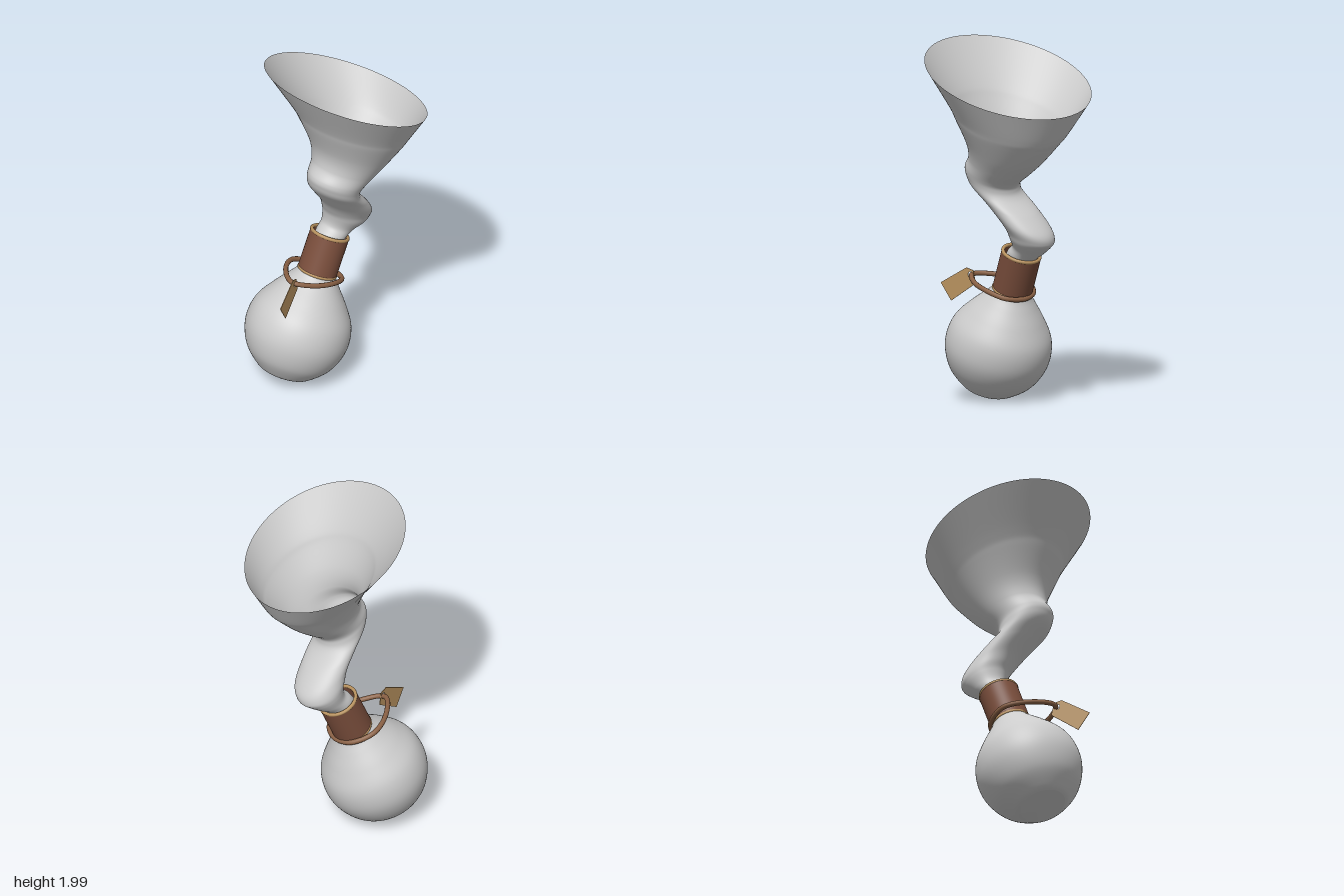
import * as THREE from 'three';
import { ParametricGeometry } from 'three/addons/geometries/ParametricGeometry.js';

const material = (color) => new THREE.MeshStandardMaterial({ color, side: THREE.DoubleSide });

function addPart(parent, name, geometry, mat) {
  const mesh = new THREE.Mesh(geometry, mat);
  mesh.name = name;
  parent.add(mesh);
  return mesh;
}

const points2 = (list) => list.map(([x, y]) => new THREE.Vector2(x, y));

// Bent horn: [height, centre x, centre z, radius x, radius z] per section
const hornSections = [
  [0.53, 0.0, 0.0, 0.083, 0.085],
  [0.58, 0.01, 0.0, 0.083, 0.086],
  [0.63, 0.04, 0.0, 0.09, 0.093],
  [0.69, 0.05, 0.012, 0.122, 0.12],
  [0.73, 0.04, 0.019, 0.148, 0.13],
  [0.78, -0.005, 0.038, 0.165, 0.138],
  [0.84, -0.11, 0.06, 0.168, 0.142],
  [0.89, -0.215, 0.081, 0.152, 0.147],
  [0.93, -0.252, 0.088, 0.153, 0.151],
  [0.97, -0.257, 0.092, 0.163, 0.158],
  [1.044, -0.226, 0.09, 0.18, 0.18],
  [1.137, -0.218, 0.087, 0.226, 0.222],
  [1.262, -0.249, 0.078, 0.31, 0.295],
  [1.328, -0.273, 0.068, 0.355, 0.338],
  [1.495, -0.365, 0.04, 0.47, 0.466],
];

function hornGeometry() {
  const curve = (pick) =>
    new THREE.CatmullRomCurve3(hornSections.map(pick), false, 'catmullrom', 0.5);
  const centres = curve(([s, x, z]) => new THREE.Vector3(x, s, z));
  const radii = curve(([, , , rx, rz]) => new THREE.Vector3(rx, 0, rz));
  const c = new THREE.Vector3();
  const r = new THREE.Vector3();
  return new ParametricGeometry((u, v, target) => {
    const angle = -u * Math.PI * 2;
    centres.getPoint(v, c);
    radii.getPoint(v, r);
    target.set(c.x + r.x * Math.cos(angle), c.y, c.z + r.z * Math.sin(angle));
  }, 80, 98);
}

export function createModel() {
  const model = new THREE.Group();
  model.name = 'hornFlask';
  const grey = material(0xcccccc);
  const leather = material(0x7a4e3c);
  const tan = material(0xb8925f);
  const cordMat = material(0x8a6145);

  // Tilted frame shared by bulb, sleeve and horn, with its origin in the bulb
  const flask = new THREE.Group();
  flask.name = 'flask';
  const up = new THREE.Vector3(0.374, 0.924, 0.077).normalize();
  const side = new THREE.Vector3(up.y, -up.x, 0).normalize();
  const front = new THREE.Vector3().crossVectors(side, up);
  flask.quaternion.setFromRotationMatrix(new THREE.Matrix4().makeBasis(side, up, front));
  flask.position.set(-0.175, 0.3, -0.158);
  model.add(flask);

  // Pear-shaped bulb with a flattened foot and a short neck
  const pear = new THREE.SplineCurve(points2([
    [0.125, -0.264], [0.16, -0.245], [0.235, -0.172], [0.28, -0.08], [0.292, 0.01],
    [0.272, 0.105], [0.213, 0.2], [0.152, 0.28], [0.115, 0.33], [0.098, 0.37], [0.094, 0.42],
  ]));
  const bulbProfile = [new THREE.Vector2(0, -0.266), ...pear.getPoints(70)];
  addPart(flask, 'bulb', new THREE.LatheGeometry(bulbProfile, 80), grey);

  // Hollow sleeve around the neck, with a pale band at each end
  const sleeveProfile = points2([
    [0.096, 0.35], [0.11, 0.35], [0.11, 0.35], [0.11, 0.575], [0.11, 0.575], [0.096, 0.575],
    [0.096, 0.575], [0.096, 0.35],
  ]);
  addPart(flask, 'sleeve', new THREE.LatheGeometry(sleeveProfile, 64), leather);
  for (const [name, height] of [['sleeveTopBand', 0.576], ['sleeveBottomBand', 0.348]]) {
    const band = addPart(flask, name, new THREE.TorusGeometry(0.103, 0.01, 10, 64), tan);
    band.rotation.x = Math.PI / 2;
    band.position.y = height;
  }

  addPart(flask, 'horn', hornGeometry(), grey);

  // Loose cord looped round the neck
  const loop = new THREE.CatmullRomCurve3([
    [-0.3, 0.69, -0.09], [-0.22, 0.662, -0.01], [-0.1, 0.632, 0.027], [0.02, 0.592, -0.01],
    [0.06, 0.583, -0.11], [0.03, 0.605, -0.22], [-0.08, 0.652, -0.277], [-0.21, 0.68, -0.215],
  ].map((p) => new THREE.Vector3(...p)), true);
  addPart(model, 'cord', new THREE.TubeGeometry(loop, 120, 0.014, 10, true), cordMat);

  // Paper tag hanging from the cord, with a punched hole
  const tagShape = new THREE.Shape(points2([
    [-0.48, 0.632], [-0.418, 0.536], [-0.272, 0.64], [-0.286, 0.712], [-0.328, 0.724],
  ].map(([x, y]) => [x * 1.035, y])));
  tagShape.holes.push(new THREE.Path().absarc(-0.312, 0.688, 0.016, 0, Math.PI * 2, true));
  const tagGeometry = new THREE.ExtrudeGeometry(tagShape, { depth: 0.004, bevelEnabled: false });
  const tag = addPart(model, 'tag', tagGeometry, tan);
  tag.rotation.y = 0.27;
  tag.position.z = -0.156;

  return model;
}
